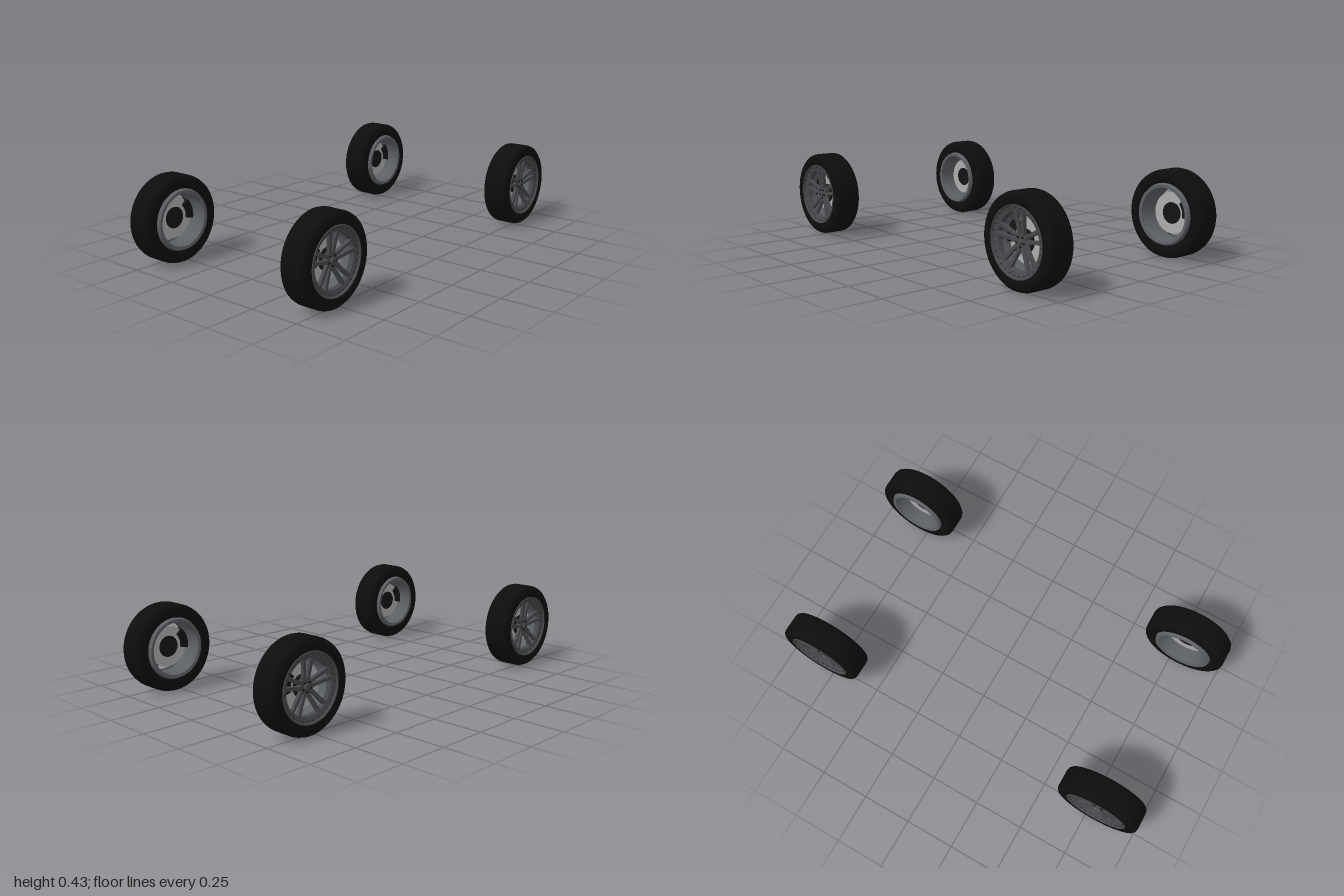
import * as THREE from 'three';
import { toCreasedNormals } from 'three/addons/utils/BufferGeometryUtils.js';

const mat = (name, color, side = THREE.FrontSide) => {
  const m = new THREE.MeshStandardMaterial({ color, side });
  m.name = name;
  return m;
};

const R = 0.2125; // tyre radius

// Revolve [radius, offset along axle] points around the x axis
function turned(points, segments = 64, crease = 0.6) {
  const g = new THREE.LatheGeometry(points.map(([r, x]) => new THREE.Vector2(r, x)), segments);
  g.rotateZ(-Math.PI / 2);
  return toCreasedNormals(g, crease);
}

// Cylinder lying along the axle, from x0 to x1
function disc(radius, x0, x1, segments = 32, topRadius = radius) {
  return new THREE.CylinderGeometry(topRadius, radius, x1 - x0, segments)
    .rotateZ(-Math.PI / 2).translate((x0 + x1) / 2, 0, 0);
}

// Flat outline extruded along the axle
function plate(points, depth, x0, bevel = 0) {
  const shape = new THREE.Shape(points.map(([a, b]) => new THREE.Vector2(a, b)));
  const g = new THREE.ExtrudeGeometry(shape, {
    depth, bevelEnabled: bevel > 0, bevelSize: bevel, bevelThickness: bevel, bevelSegments: 1,
  });
  return g.rotateY(Math.PI / 2).translate(x0, 0, 0);
}

function createWheel(m) {
  const wheel = new THREE.Group();
  const add = (name, geometry, material, angle = 0) => {
    const mesh = new THREE.Mesh(geometry, material);
    mesh.name = name;
    mesh.rotation.x = angle;
    wheel.add(mesh);
  };

  // Tyre: closed section with rounded shoulders
  add('tyre', turned([
    [0.146, -0.056], [0.152, -0.064], [0.165, -0.067], [0.188, -0.067], [0.201, -0.063], [0.209, -0.055],
    [R, -0.042], [R, 0.042], [0.209, 0.055], [0.201, 0.063], [0.188, 0.067], [0.165, 0.067],
    [0.157, 0.064], [0.15, 0.056], [0.146, -0.056],
  ], 72, 0.9), m.tyre);

  // Rim barrel, open at both ends, with the inner lip standing proud
  add('rimBarrel', turned([
    [0.148, -0.062], [0.143, -0.077], [0.139, -0.077], [0.132, -0.066], [0.128, -0.04], [0.124, 0.035],
  ]), m.barrel);
  add('innerFlange', turned([[0.128, -0.066], [0.128, -0.075], [0.143, -0.077], [0.15, -0.06]]), m.barrel);

  // Outer rim ring
  add('rimRing', turned([
    [0.122, 0.03], [0.152, 0.03], [0.157, 0.062], [0.156, 0.0675], [0.152, 0.0675],
    [0.148, 0.059], [0.136, 0.056], [0.126, 0.052], [0.122, 0.046], [0.122, 0.03],
  ]), m.alloy);

  // Small bolts around the rim ring
  const bolt = disc(0.0022, 0.054, 0.061, 6).translate(0, 0.142, 0);
  for (let i = 0; i < 30; i++) add('rimBolt', bolt, m.dark, (i + 0.5) * Math.PI / 15);

  // Five twin spokes, dished toward the hub
  const spoke = (s) => {
    const pts = [[0.003, 0.022], [0.017, 0.022], [0.0225, 0.08], [0.031, 0.128], [0.016, 0.131], [0.0095, 0.08]]
      .map(([a, b]) => [a * s, b]);
    const g = plate(pts, 0.014, 0.038, 0.002);
    const p = g.attributes.position;
    for (let i = 0; i < p.count; i++) {
      p.setX(i, p.getX(i) - 0.16 * (0.13 - Math.hypot(p.getY(i), p.getZ(i))));
    }
    g.computeVertexNormals();
    return g;
  };
  const spokes = [spoke(1), spoke(-1)];
  const lug = disc(0.0045, 0.03, 0.044, 6).translate(0, 0.023, 0);
  for (let i = 0; i < 5; i++) {
    const a = i * Math.PI * 2 / 5;
    spokes.forEach((g) => add('spoke', g, m.alloy, a));
    add('wheelNut', lug, m.dark, a + Math.PI / 5);
  }

  // Hub and centre cap
  add('hub', disc(0.036, 0.012, 0.038, 40, 0.033), m.alloy);
  add('centreCap', disc(0.015, 0.038, 0.047, 24, 0.012), m.alloy);

  // Brake: annular disc, dark bell and caliper
  add('brakeDisc', turned([
    [0.05, -0.006], [0.1, -0.006], [0.1, 0.006], [0.05, 0.006], [0.05, -0.006],
  ]), m.brake);
  add('brakeBell', disc(0.052, -0.009, 0.014, 40, 0.046), m.dark);
  const arc = [];
  for (let i = 0; i <= 8; i++) arc.push([0.108, -0.5 + i / 8]);
  for (let i = 8; i >= 0; i--) arc.push([0.07, -0.5 + i / 8]);
  add('brakeCaliper', plate(arc.map(([r, t]) => [-r * Math.cos(t), r * Math.sin(t)]), 0.034, -0.018),
    m.dark, -0.3);
  return wheel;
}

export function createModel() {
  const m = {
    tyre: mat('tyre rubber', 0x0d0d0d),
    alloy: mat('dark alloy', 0x46484b),
    barrel: mat('barrel metal', 0x5c5f64, THREE.DoubleSide),
    brake: mat('brake steel', 0xacacac),
    dark: mat('black parts', 0x141414),
  };
  const model = new THREE.Group();
  model.name = 'wheelSet';
  for (const side of [1, -1]) {
    for (const end of [1, -1]) {
      const wheel = createWheel(m);
      wheel.name = (end > 0 ? 'front' : 'rear') + (side > 0 ? 'Left' : 'Right') + 'Wheel';
      wheel.position.set(side * 0.472, R, end * 0.7875);
      if (side < 0) wheel.rotation.y = Math.PI;
      model.add(wheel);
    }
  }
  return model;
}
